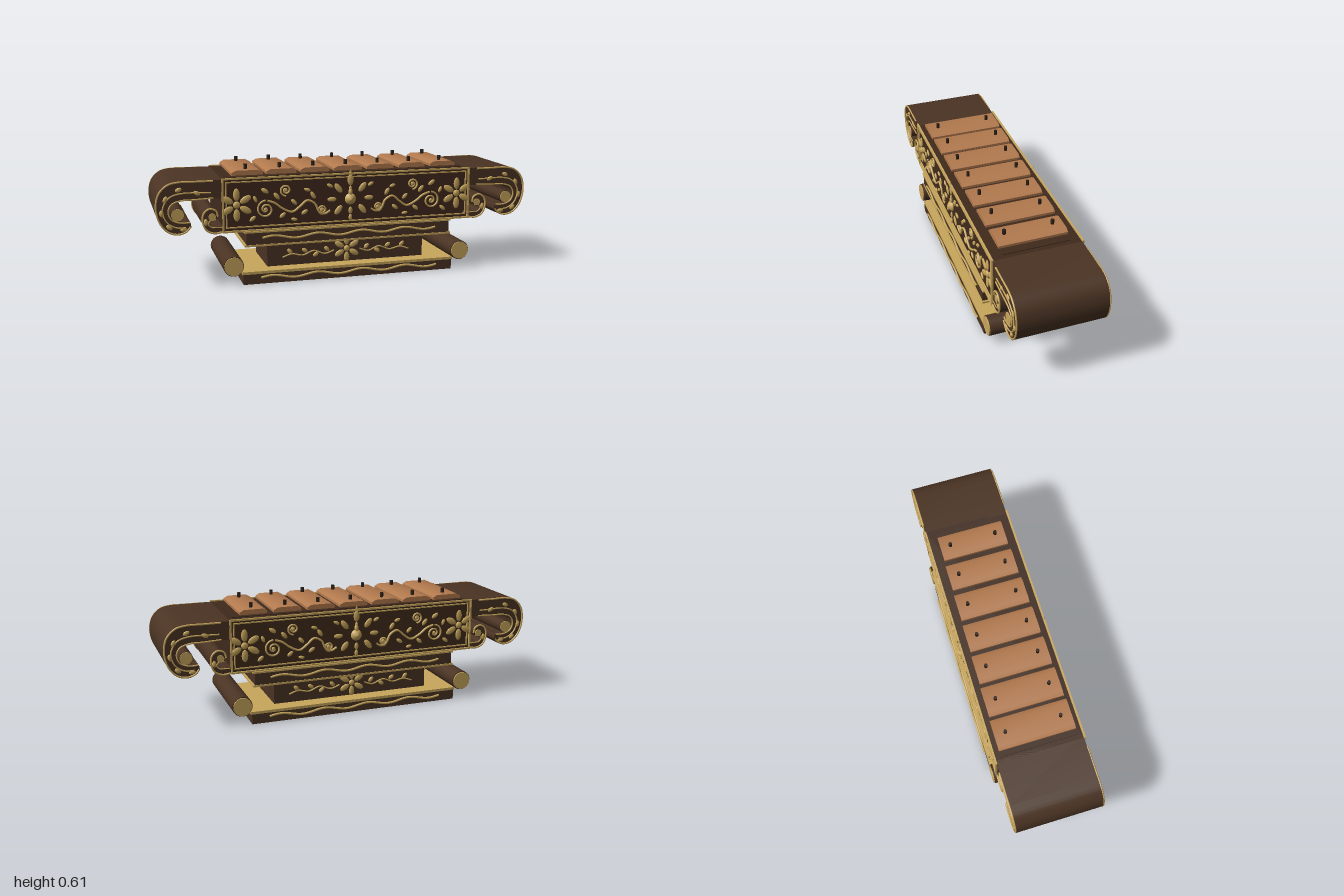
import * as THREE from 'three';
import { toCreasedNormals } from 'three/addons/utils/BufferGeometryUtils.js';

export function createModel() {
  const root = new THREE.Group();
  root.name = 'keyedPercussion';
  const mat = (name, color) => {
    const m = new THREE.MeshStandardMaterial({ color });
    m.name = name;
    return m;
  };
  const wood = mat('dark wood', 0x4a3323);
  const panelWood = mat('panel wood', 0x402a1c);
  const gold = mat('gold', 0xc9a75c);
  const copper = mat('copper', 0xb37a4e);
  const pinDark = mat('dark pin', 0x2c2018);

  const add = (parent, name, geo, material, x = 0, y = 0, z = 0) => {
    const m = new THREE.Mesh(geo, material);
    m.name = name;
    m.position.set(x, y, z);
    parent.add(m);
    return m;
  };
  // Box given by half width, bottom, top and half depth
  const slab = (name, hx, y0, y1, hz, material) =>
    add(root, name, new THREE.BoxGeometry(hx * 2, y1 - y0, hz * 2), material, 0, (y0 + y1) / 2, 0);
  const v3 = (p, z) => p.map(([x, y]) => new THREE.Vector3(x, y, z));
  const tube = (parent, name, pts, z, r, seg = 40, closed = false) =>
    add(parent, name, new THREE.TubeGeometry(new THREE.CatmullRomCurve3(v3(pts, z), closed), seg, r, 6, closed), gold);

  // Stepped stand
  slab('plinth', 0.57, 0, 0.052, 0.24, wood);
  slab('plinthTrim', 0.575, 0.052, 0.066, 0.24, gold);
  slab('waist', 0.43, 0.066, 0.198, 0.16, wood);
  slab('lowerStepTrim', 0.56, 0.197, 0.207, 0.243, gold);
  slab('step', 0.55, 0.207, 0.27, 0.24, wood);
  slab('upperStepTrim', 0.56, 0.268, 0.277, 0.243, gold);

  // Rollers at both ends of the plinth
  for (const s of [-1, 1]) {
    const roller = new THREE.Group();
    roller.name = 'roller';
    roller.position.set(s * 0.618, 0.1, 0);
    roller.rotation.x = Math.PI / 2;
    add(roller, 'rollerBody', new THREE.CylinderGeometry(0.052, 0.052, 0.478, 32), wood);
    for (const e of [-1, 1])
      add(roller, 'rollerCap', new THREE.CylinderGeometry(0.048, 0.048, 0.007, 32), gold, 0, e * 0.2425, 0);
    root.add(roller);
  }

  // Main case
  slab('case', 0.665, 0.276, 0.547, 0.225, panelWood);

  // Scrolled ends: a large hook above a small curl
  const hookOuter = [[0.88, 0.547], [0.935, 0.534], [0.98, 0.49], [0.996, 0.42], [0.98, 0.345], [0.94, 0.295],
    [0.89, 0.278], [0.845, 0.29], [0.822, 0.315]];
  const hookInner = [[0.828, 0.34], [0.855, 0.338], [0.89, 0.343], [0.92, 0.36], [0.933, 0.4], [0.915, 0.435], [0.87, 0.451], [0.8, 0.453]];
  const curlOuter = [[0.71, 0.277], [0.748, 0.295], [0.766, 0.335], [0.76, 0.38], [0.73, 0.402], [0.698, 0.39], [0.69, 0.362]];
  const curlInner = [[0.7, 0.345], [0.725, 0.345], [0.738, 0.325], [0.722, 0.308], [0.695, 0.307]];
  const outlineOf = (start, outer, inner, end) => {
    const s = new THREE.Shape();
    const v2 = (a) => a.map(([x, y]) => new THREE.Vector2(x, y));
    s.moveTo(...start);
    s.lineTo(...outer[0]);
    s.splineThru(v2(outer.slice(1)));
    s.splineThru(v2(inner));
    s.lineTo(...end);
    return s;
  };
  const extruded = (shape, hz, segs = 8) => {
    const g = new THREE.ExtrudeGeometry(shape, { depth: hz * 2, bevelEnabled: false, curveSegments: segs });
    g.translate(0, 0, -hz);
    return toCreasedNormals(g, 0.7);
  };
  const hookShape = outlineOf([0.65, 0.547], hookOuter, hookInner, [0.65, 0.453]);
  const curlShape = outlineOf([0.65, 0.277], curlOuter, curlInner, [0.65, 0.307]);
  const ellipsoid = new THREE.SphereGeometry(1, 10, 6);

  // A pointed-oval leaf lying on the face
  const leaf = (parent, x, y, angle, len, wid, z, thick = 0.006) => {
    const m = add(parent, 'leaf', ellipsoid, gold, x, y, z);
    m.scale.set(len, wid, thick);
    m.rotation.z = angle;
  };
  const flower = (parent, x, y, r, z) => {
    for (let i = 0; i < 6; i++) {
      const a = Math.PI / 2 + (i * Math.PI) / 3;
      leaf(parent, x + Math.cos(a) * r * 0.62, y + Math.sin(a) * r * 0.62, a, r * 0.38, r * 0.2, z);
    }
    leaf(parent, x, y, 0, r * 0.22, r * 0.22, z, 0.009);
  };
  const spiral = (parent, x, y, r, start, dir, z) => {
    const pts = [];
    for (let i = 0; i <= 24; i++) {
      const a = start + (dir * i * Math.PI) / 7;
      const q = r * (1 - i / 28);
      pts.push([x + Math.cos(a) * q, y + Math.sin(a) * q]);
    }
    tube(parent, 'spiral', pts, z, 0.005, 60);
    leaf(parent, x, y, 0, 0.01, 0.01, z);
  };

  for (let k = 0; k < 2; k++) {
    const end = new THREE.Group();
    end.name = 'scrollEnd';
    end.rotation.y = k * Math.PI;
    add(end, 'hook', extruded(hookShape, 0.226), wood);
    add(end, 'curl', extruded(curlShape, 0.226), wood);
    for (const [x, y, r] of [[0.888, 0.38, 0.034], [0.718, 0.36, 0.02]]) {
      add(end, 'scrollEye', new THREE.CylinderGeometry(r, r, 0.452, 24), wood, x, y).rotation.x = Math.PI / 2;
      for (const s of [-1, 1])
        add(end, 'eyeCap', new THREE.CylinderGeometry(r * 0.92, r * 0.92, 0.006, 24), gold, x, y, s * 0.228).rotation.x = Math.PI / 2;
    }
    for (const s of [-1, 1]) {
      const z = s * 0.228;
      tube(end, 'hookEdge', [[0.71, 0.543], [0.8, 0.543], ...hookOuter.map(([x, y]) => [0.9 + (x - 0.9) * 0.96, 0.415 + (y - 0.415) * 0.97])], z, 0.005, 70);
      tube(end, 'hookInnerEdge', [...hookInner, [0.71, 0.457]], z, 0.004, 50);
      tube(end, 'hookLine', [[0.72, 0.485], [0.88, 0.485], [0.93, 0.465], [0.96, 0.41], [0.94, 0.345], [0.89, 0.315], [0.85, 0.315]], z, 0.004, 50);
      tube(end, 'curlEdge', [[0.67, 0.281], ...curlOuter], z, 0.005, 50);
      tube(end, 'curlInnerEdge', [...curlInner, [0.67, 0.305]], z, 0.003, 30);
      for (const [x, y, a] of [[0.79, 0.485, 0.5], [0.88, 0.505, -0.4], [0.945, 0.46, 2], [0.965, 0.39, 1.4], [0.93, 0.32, 0.7], [0.86, 0.305, 0], [0.75, 0.335, 1.5]])
        leaf(end, x, y, a, 0.018, 0.011, z);
    }
    root.add(end);
  }

  // Ornament for one long face
  const ring = (hx, y0, y1, w) => {
    const s = new THREE.Shape([[-hx, y0], [hx, y0], [hx, y1], [-hx, y1]].map((p) => new THREE.Vector2(...p)));
    s.holes.push(new THREE.Path([[-hx + w, y0 + w], [-hx + w, y1 - w], [hx - w, y1 - w], [hx - w, y0 + w]].map((p) => new THREE.Vector2(...p))));
    return s;
  };
  const wave = (hx, y, z) => {
    const pts = [];
    for (let i = 0; i <= 48; i++) {
      const x = -hx + (i * hx * 2) / 48;
      pts.push([x, y + 0.009 * Math.sin((i * Math.PI) / 6)]);
    }
    return [pts, z];
  };
  for (let k = 0; k < 2; k++) {
    const face = new THREE.Group();
    face.name = 'faceOrnament';
    face.rotation.y = k * Math.PI;
    add(face, 'outerFrame', extruded(ring(0.668, 0.275, 0.553, 0.009), 0.005), gold, 0, 0, 0.23);
    add(face, 'innerFrame', extruded(ring(0.65, 0.297, 0.534, 0.006), 0.004), gold, 0, 0, 0.228);
    const z = 0.23;
    for (const s of [-1, 1]) {
      flower(face, s * 0.595, 0.415, 0.085, z);
      // Vine with spirals and leaves
      tube(face, 'vine', [[0.11, 0.36], [0.14, 0.345], [0.17, 0.36], [0.19, 0.4], [0.23, 0.42], [0.27, 0.39],
        [0.31, 0.365], [0.36, 0.385], [0.4, 0.415], [0.44, 0.43]].map(([x, y]) => [s * x, y]), z, 0.006, 50);
      spiral(face, s * 0.447, 0.385, 0.046, Math.PI / 2, -s, z);
      spiral(face, s * 0.342, 0.478, 0.03, -Math.PI / 2, s, z);
      spiral(face, s * 0.15, 0.367, 0.024, -Math.PI / 2, s, z);
      for (const [x, y, a, l] of [[0.2, 0.445, 1, 0.022], [0.245, 0.36, -0.6, 0.02], [0.3, 0.415, 0.8, 0.02], [0.36, 0.35, -0.7, 0.02],
        [0.39, 0.45, 0.9, 0.022], [0.45, 0.48, 0.6, 0.022], [0.5, 0.44, 1.2, 0.018], [0.515, 0.34, -0.7, 0.02], [0.23, 0.475, 0.3, 0.018],
        [0.3, 0.325, 0.2, 0.017], [0.065, 0.475, 0.9, 0.03], [0.065, 0.36, -0.9, 0.03], [0.1, 0.418, 0, 0.025], [0.11, 0.49, 0.5, 0.018]])
        leaf(face, s * x, y, s * a, l, l * 0.5, z);
    }
    // Central rosette and finial
    for (const [y, l] of [[0.515, 0.03], [0.47, 0.015], [0.355, 0.02], [0.318, 0.018]]) leaf(face, 0, y, Math.PI / 2, l, l * 0.55, z);
    const boss = add(face, 'boss', new THREE.LatheGeometry([[0.03, 0], [0.028, 0.008], [0.015, 0.02], [0, 0.026]].map((p) => new THREE.Vector2(...p)), 20), gold, 0, 0.415, 0.227);
    boss.rotation.x = Math.PI / 2;
    leaf(face, 0, 0.45, Math.PI / 2, 0.022, 0.012, z, 0.01);
    const finial = add(face, 'finial', new THREE.ConeGeometry(0.012, 0.03, 8), gold, 0, 0.56, 0.231);
    finial.scale.z = 0.4;

    // Waves on the plinth and step
    tube(face, 'plinthWave', ...wave(0.48, 0.033, 0.244), 0.006, 120);
    tube(face, 'stepWave', ...wave(0.47, 0.241, 0.244), 0.006, 120);
    // Waist flower and vine
    flower(face, 0, 0.135, 0.075, 0.163);
    for (const s of [-1, 1]) {
      tube(face, 'waistVine', [[0.07, 0.13], [0.12, 0.115], [0.18, 0.135], [0.24, 0.115], [0.3, 0.125], [0.35, 0.11]].map(([x, y]) => [s * x, y]), 0.163, 0.004, 40);
      for (const [x, y, a] of [[0.11, 0.14, 0.8], [0.17, 0.115, -0.6], [0.23, 0.14, 0.6], [0.31, 0.14, 0.8]])
        leaf(face, s * x, y, s * a, 0.018, 0.011, 0.163);
    }
    root.add(face);
  }

  // Tapering bed below the keys
  const bed = new THREE.BoxGeometry(1.28, 0.006, 0.4);
  const bp = bed.attributes.position;
  for (let i = 0; i < bp.count; i++) if (bp.getX(i) > 0) bp.setZ(i, bp.getZ(i) * 0.85);
  add(root, 'keyBed', bed, panelWood, 0, 0.548, 0);

  // Seven keys, shrinking toward the left, each on two pins
  for (let i = 0; i < 7; i++) {
    const x = -0.533 + i * 0.1775;
    const hw = 0.08 - i * 0.0015;
    const hz = 0.2 - i * 0.0038;
    const profile = new THREE.Shape([[-hw, 0.559], [hw, 0.559], [hw, 0.572], [hw - 0.022, 0.584], [-hw + 0.022, 0.584], [-hw, 0.572]]
      .map((p) => new THREE.Vector2(...p)));
    add(root, 'key', extruded(profile, hz), copper, x, 0, 0);
    for (const s of [-1, 1])
      add(root, 'pin', new THREE.CylinderGeometry(0.009, 0.009, 0.063, 10), pinDark, x, 0.5775, s * (0.144 - i * 0.0033));
  }
  return root;
}
